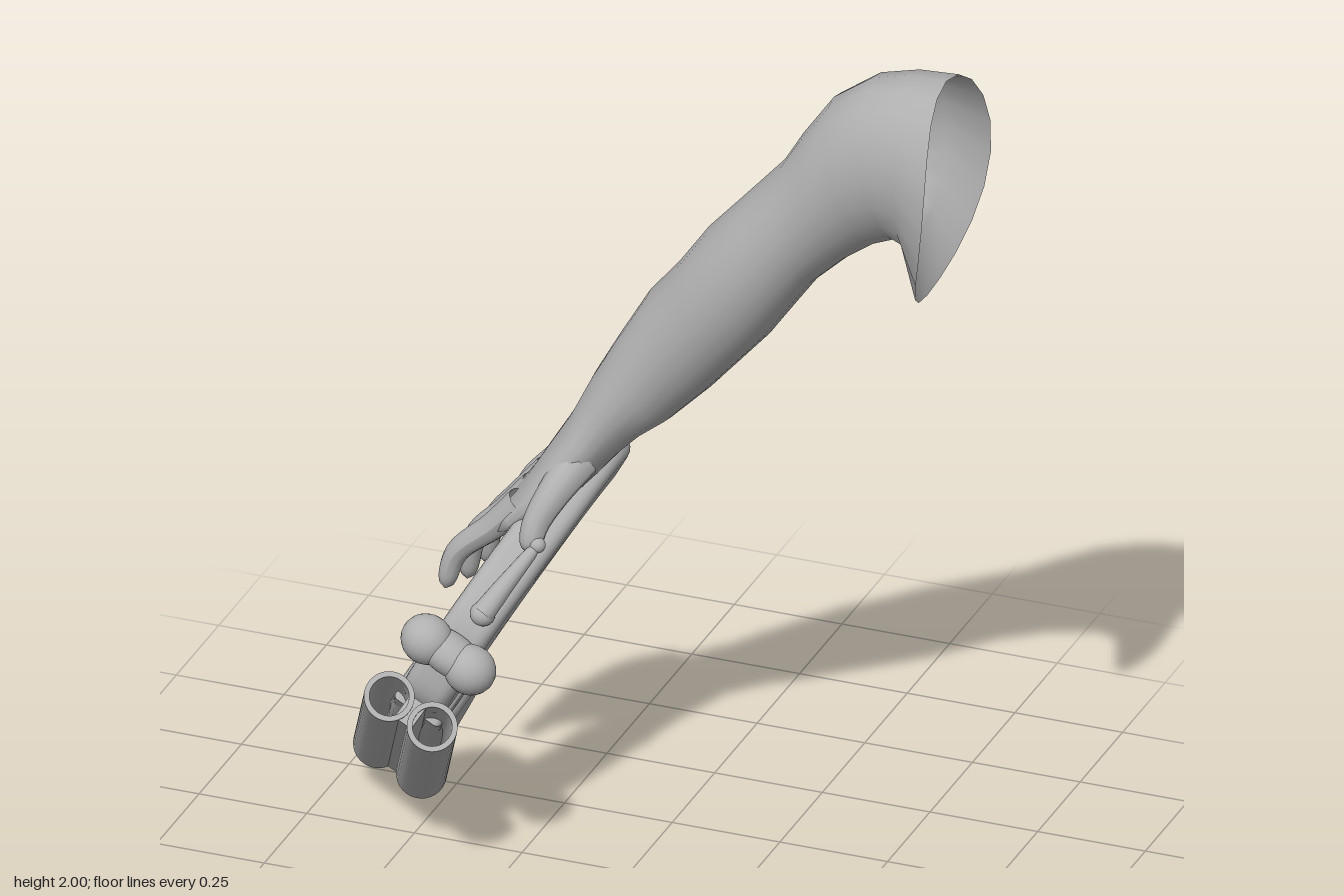
import * as THREE from 'three';
import { toCreasedNormals } from 'three/addons/utils/BufferGeometryUtils.js';

const grey = new THREE.MeshStandardMaterial({ color: 0xb0b0b0, side: THREE.DoubleSide });
grey.name = 'plain grey';

function add(parent, name, geometry, x = 0, y = 0, z = 0) {
  const mesh = new THREE.Mesh(geometry, grey);
  mesh.name = name;
  mesh.position.set(x, y, z);
  parent.add(mesh);
  return mesh;
}

// Skin a row of oval sections: [upper x, upper y, lower x, lower y, centre z, half width, bulge]
function loft(sections, sides = 20) {
  const pos = [], index = [];
  for (const [ux, uy, lx, ly, z, w, bulge = 0] of sections) {
    for (let j = 0; j < sides; j++) {
      const a = (j / sides) * Math.PI * 2, c = Math.cos(a), s = Math.sin(a);
      pos.push((ux + lx) / 2 + s * (ux - lx) / 2 + bulge * c * c,
        (uy + ly) / 2 + s * (uy - ly) / 2, z + c * w);
    }
  }
  for (let i = 0; i < sections.length - 1; i++) {
    for (let j = 0; j < sides; j++) {
      const a = i * sides + j, b = i * sides + (j + 1) % sides;
      index.push(a, b, a + sides, b, b + sides, a + sides);
    }
  }
  const g = new THREE.BufferGeometry();
  g.setAttribute('position', new THREE.Float32BufferAttribute(pos, 3));
  g.setIndex(index);
  g.computeVertexNormals();
  return g;
}

// Tapered tube with a rounded tip
function finger(points, r0, r1) {
  const curve = new THREE.CatmullRomCurve3(points.map(p => new THREE.Vector3(...p)));
  const n = 20, sides = 12;
  const g = new THREE.TubeGeometry(curve, n, 1, sides);
  const p = g.attributes.position, v = new THREE.Vector3();
  for (let i = 0; i <= n; i++) {
    const t = i / n, c = curve.getPointAt(t);
    const tip = t > 0.85 ? Math.sqrt(Math.max(0, 1 - ((t - 0.85) / 0.15) ** 2)) : 1;
    const r = (r0 + (r1 - r0) * t) * tip;
    for (let j = 0; j <= sides; j++) {
      const k = i * (sides + 1) + j;
      v.fromBufferAttribute(p, k).sub(c).multiplyScalar(r).add(c);
      p.setXYZ(k, v.x, v.y, v.z);
    }
  }
  g.computeVertexNormals();
  return g;
}

// Side outline given as [z, y], extruded across x with rounded edges
function slab(outline, width, bevel, smooth) {
  let pts = outline.map(([z, y]) => new THREE.Vector3(z, y, 0));
  if (smooth) pts = new THREE.CatmullRomCurve3(pts, true).getPoints(60).slice(0, -1);
  const shape = new THREE.Shape(pts.map(p => new THREE.Vector2(p.x, p.y)));
  const depth = width - 2 * bevel;
  const g = new THREE.ExtrudeGeometry(shape, {
    depth, bevelEnabled: true, bevelSize: bevel, bevelOffset: -bevel,
    bevelThickness: bevel, bevelSegments: 4,
  });
  g.translate(0, 0, -depth / 2);
  g.rotateY(-Math.PI / 2);
  return toCreasedNormals(g, 0.7);
}

function ball(rx, ry, rz) {
  return new THREE.SphereGeometry(1, 24, 16).scale(rx, ry, rz);
}

function buildArm() {
  const arm = new THREE.Group();
  arm.name = 'arm';
  // Open shoulder, elbow, wrist, then palm
  add(arm, 'sleeveAndPalm', loft([
    [0.69, 2.0, 0.645, 1.47, -0.115, 0.205, 0.045],
    [0.60, 1.99, 0.61, 1.59, -0.13, 0.165, 0.02],
    [0.51, 1.965, 0.585, 1.60, -0.135, 0.15],
    [0.42, 1.90, 0.53, 1.575, -0.138, 0.137],
    [0.35, 1.80, 0.46, 1.525, -0.14, 0.125],
    [0.305, 1.725, 0.38, 1.45, -0.14, 0.118],
    [0.22, 1.63, 0.33, 1.38, -0.138, 0.122],
    [0.13, 1.53, 0.27, 1.295, -0.14, 0.126],
    [0.06, 1.43, 0.20, 1.215, -0.144, 0.12],
    [-0.01, 1.345, 0.13, 1.135, -0.148, 0.113],
    [-0.08, 1.225, 0.04, 1.045, -0.146, 0.112],
    [-0.135, 1.125, -0.02, 1.0, -0.143, 0.114],
    [-0.18, 1.03, -0.075, 0.945, -0.14, 0.12],
    [-0.225, 0.955, -0.125, 0.885, -0.13, 0.137],
    [-0.27, 0.88, -0.18, 0.825, -0.13, 0.152],
    [-0.31, 0.825, -0.235, 0.78, -0.135, 0.155],
    [-0.335, 0.785, -0.28, 0.755, -0.14, 0.142],
    [-0.32, 0.765, -0.30, 0.755, -0.14, 0.1],
  ]));
  // Four fingers: start z, tip x, y, z
  const tips = [
    ['indexFinger', -0.025, -0.435, 0.6, -0.015], ['middleFinger', -0.105, -0.425, 0.575, -0.12],
    ['ringFinger', -0.185, -0.415, 0.575, -0.205], ['littleFinger', -0.255, -0.385, 0.605, -0.287],
  ];
  for (const [name, z, tx, ty, tz] of tips) {
    add(arm, name, finger([[-0.26, 0.84, z], [-0.325, 0.77, z],
      [tx + 0.025, 0.69, (z + tz) / 2], [tx, ty, tz]], 0.035, 0.021));
  }
  add(arm, 'thumb', finger([[-0.14, 0.95, -0.06], [-0.175, 0.89, 0.01],
    [-0.2, 0.83, 0.05], [-0.205, 0.77, 0.075]], 0.045, 0.024));
  return arm;
}

function buildGun() {
  const gun = new THREE.Group();
  gun.name = 'hingedGun';
  // Leaning frame: local y runs up the side plane, local x across it
  gun.position.set(-0.4, 0.447, 0);
  gun.rotation.z = -0.503;

  // Curved grip running into the hinged receiver
  add(gun, 'gripAndReceiver', slab([
    [-0.28, 0.53], [-0.18, 0.535], [-0.10, 0.494], [-0.02, 0.434], [0.06, 0.373],
    [0.14, 0.312], [0.21, 0.222], [0.228, 0.1], [0.225, 0.015], [0.19, -0.03],
    [0.13, -0.04], [0.095, 0.04], [0.074, 0.125], [0.01, 0.234], [-0.064, 0.312],
    [-0.127, 0.367], [-0.2, 0.405], [-0.28, 0.43],
  ], 0.11, 0.028, true));
  add(gun, 'gripKnob', ball(0.055, 0.062, 0.055), 0, 0.48, -0.245);

  // Breech with a dome behind each barrel
  for (const side of [-1, 1]) {
    add(gun, 'breechDome', ball(0.058, 0.055, 0.055), side * 0.057, 0.165, 0.255);
  }
  add(gun, 'breechBridge', ball(0.09, 0.045, 0.052), 0, 0.165, 0.25);

  // Hollow barrels hanging from the hinge
  const length = 0.63, tilt = Math.atan2(-0.73, -0.679);
  const barrels = new THREE.Group();
  barrels.name = 'barrels';
  barrels.position.set(0, 0, 0.275);
  barrels.rotation.x = tilt;
  gun.add(barrels);
  const profile = [[0.043, 0], [0.055, 0], [0.055, length], [0.043, length], [0.043, 0]]
    .map(([r, y]) => new THREE.Vector2(r, y));
  for (const side of [-1, 1]) {
    add(barrels, 'barrel', toCreasedNormals(new THREE.LatheGeometry(profile, 32), 0.7), side * 0.057);
  }
  add(barrels, 'barrelRib', new THREE.BoxGeometry(0.045, length - 0.01, 0.06), 0, length / 2, 0);

  // Fore-end under the barrels and its hinge block
  add(gun, 'foreEnd', slab([
    [0.05, -0.02], [0.025, 0.035], [-0.03, 0.004], [-0.095, -0.07], [-0.143, -0.19],
    [-0.166, -0.30], [-0.14, -0.345], [-0.06, -0.28], [0.06, -0.165], [0.1, -0.11],
  ], 0.145, 0.035, true));
  add(gun, 'hingeBlock', slab([
    [0.15, -0.08], [0.085, 0.04], [0.028, 0.052], [-0.01, 0.0], [0.07, -0.15],
  ], 0.12, 0.012, false));

  // Trigger guard and triggers
  add(gun, 'triggerGuard', new THREE.TorusGeometry(0.07, 0.009, 10, 36).rotateY(Math.PI / 2), 0, 0.19, -0.025);
  for (const z of [-0.01, -0.05]) {
    add(gun, 'trigger', finger([[0, 0.28, z], [0, 0.22, z + 0.005], [0, 0.17, z - 0.025]], 0.011, 0.008));
  }

  // Top lever with pivots
  add(gun, 'topLever', finger([[0.01, 0.265, 0.2], [0.014, 0.335, 0.145], [0.02, 0.41, 0.075]], 0.026, 0.013));
  add(gun, 'leverPivot', ball(0.028, 0.026, 0.028), 0.01, 0.262, 0.195);
  add(gun, 'leverKnob', ball(0.018, 0.018, 0.018), 0.02, 0.41, 0.075);
  return gun;
}

export function createModel() {
  const model = new THREE.Group();
  model.name = 'armWithHingedGun';
  model.add(buildArm(), buildGun());
  return model;
}
